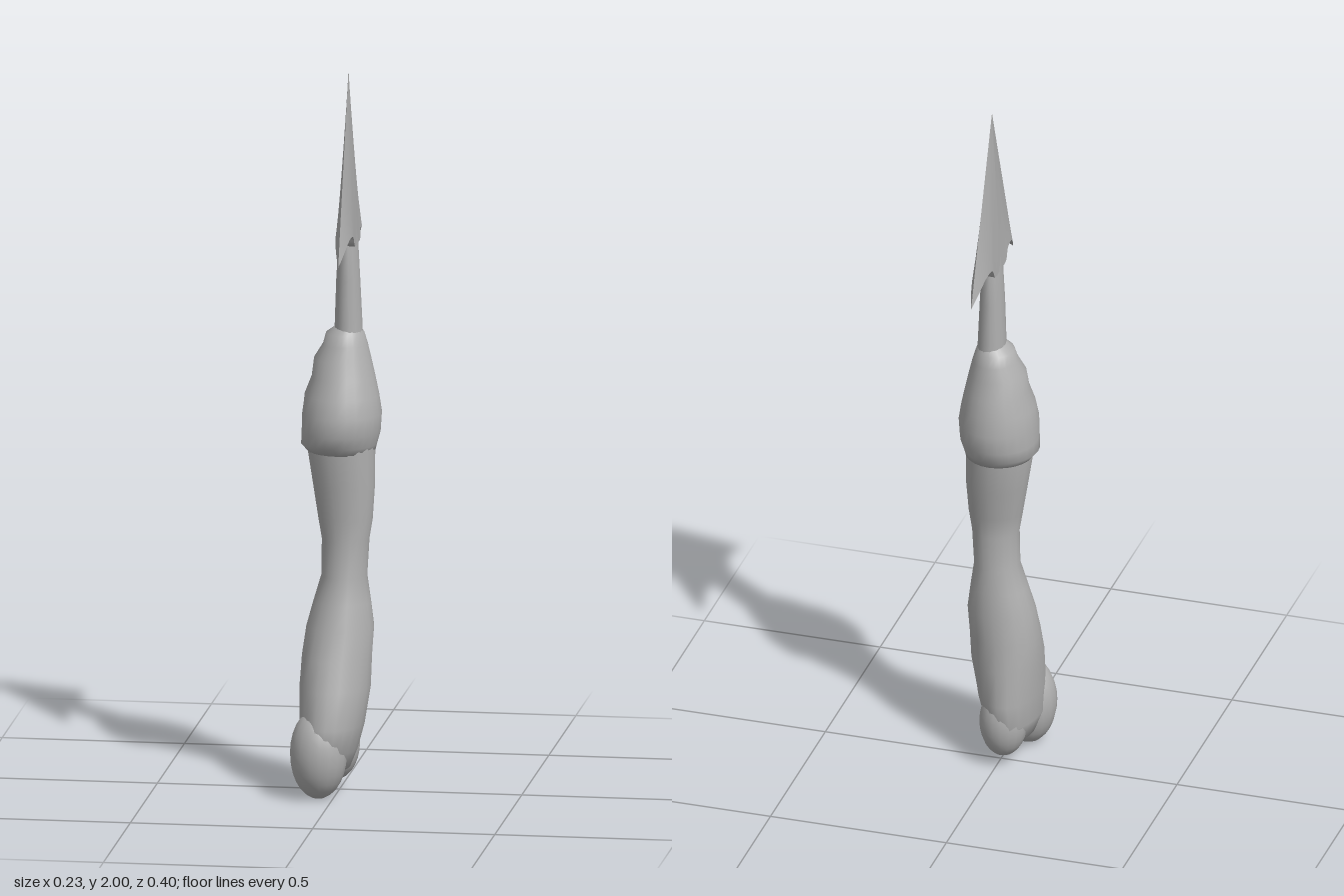
import * as THREE from 'three';
import { toCreasedNormals } from 'three/addons/utils/BufferGeometryUtils.js';

const stone = new THREE.MeshStandardMaterial({ color: 0xb0b0b0 });
stone.name = 'plain grey';

function buildGeometry(positions, index) {
  const g = new THREE.BufferGeometry();
  g.setAttribute('position', new THREE.Float32BufferAttribute(positions, 3));
  g.setIndex(index);
  g.computeVertexNormals();
  return g;
}

// Smooth loft through oval sections given as [y, xMin, xMax, zMin, zMax]
function loft(rows, sides, bump = () => 1) {
  const positions = [], index = [];
  rows.forEach(([y, x0, x1, z0, z1], i) => {
    for (let j = 0; j < sides; j++) {
      const a = (j / sides) * Math.PI * 2;
      const k = bump(a, y);
      positions.push((x0 + x1) / 2 + (x1 - x0) / 2 * Math.cos(a) * k, y,
        (z0 + z1) / 2 + (z1 - z0) / 2 * Math.sin(a) * k);
      if (i === rows.length - 1) continue;
      const p = i * sides + j, q = i * sides + (j + 1) % sides;
      index.push(p, p + sides, q, q, p + sides, q + sides);
    }
  });
  return buildGeometry(positions, index);
}

// Half of the barbed blade: columns run outward from the ridge to the barb tip
function bladeHalf(side) {
  const outer = new THREE.CatmullRomCurve3([[0, 2], [0.03, 1.92], [0.1, 1.735], [0.145, 1.615], [0.19, 1.49]]
    .map(([z, y]) => new THREE.Vector3(z, y, 0)));
  const notch = new THREE.CatmullRomCurve3([[0, 1.52], [0.05, 1.52], [0.07, 1.55], [0.11, 1.55], [0.15, 1.525], [0.19, 1.49]]
    .map(([z, y]) => new THREE.Vector3(z, y, 0)));
  const columns = 16, rows = 6, positions = [], index = [];
  const stride = rows * 2 + 1;
  for (let i = 0; i <= columns; i++) {
    const s = i / columns;
    const top = outer.getPoint(s), low = notch.getPoint(s);
    const half = 0.025 * (1 - s ** 3);
    for (let j = 0; j < stride; j++) {
      // Down one face, then back up the other, sharing the sharp top edge
      const v = j <= rows ? j / rows : (stride - j) / rows;
      const face = j <= rows ? 1 : -1;
      positions.push(0.023 + face * half * v, THREE.MathUtils.lerp(top.y, low.y, v),
        -0.01 + side * THREE.MathUtils.lerp(top.x, low.x, v));
      if (i === columns) continue;
      const a = i * stride + j, b = i * stride + (j + 1) % stride;
      const c = a + stride, d = b + stride;
      if (side > 0) index.push(a, c, b, b, c, d);
      else index.push(a, b, c, b, d, c);
    }
  }
  return toCreasedNormals(buildGeometry(positions, index), 0.7);
}

export function createModel() {
  const model = new THREE.Group();
  model.name = 'boneSpear';
  const add = (name, geometry) => {
    const mesh = new THREE.Mesh(geometry, stone);
    mesh.name = name;
    model.add(mesh);
    return mesh;
  };

  // Bone handle, swelling toward the knuckled foot
  add('boneHandle', loft([
    [0.07, -0.03, -0.02, 0.04, 0.05],
    [0.075, -0.08, 0.035, -0.05, 0.14],
    [0.13, -0.1, 0.057, -0.078, 0.19],
    [0.2, -0.1, 0.075, -0.082, 0.192],
    [0.3, -0.105, 0.09, -0.075, 0.165],
    [0.38, -0.1, 0.092, -0.07, 0.14],
    [0.46, -0.088, 0.097, -0.065, 0.118],
    [0.53, -0.068, 0.088, -0.058, 0.1],
    [0.6, -0.047, 0.078, -0.05, 0.083],
    [0.7, -0.045, 0.085, -0.045, 0.076],
    [0.76, -0.055, 0.095, -0.05, 0.077],
    [0.85, -0.07, 0.1, -0.072, 0.084],
    [0.95, -0.085, 0.1, -0.085, 0.095],
    [1.0, -0.085, 0.1, -0.085, 0.095],
  ], 20, (a, y) => 1 + 0.025 * Math.sin(3 * a + y * 6)));

  // Two knuckles with a cleft between them
  for (const [name, x, y, z, rx, ry, rz] of [
    ['frontKnuckle', -0.04, 0.125, 0.122, 0.078, 0.125, 0.08],
    ['backKnuckle', -0.012, 0.13, -0.015, 0.066, 0.105, 0.07],
  ]) {
    const knuckle = add(name, new THREE.SphereGeometry(1, 18, 14));
    knuckle.position.set(x, y, z);
    knuckle.scale.set(rx, ry, rz);
  }

  // Lumpy binding that holds the blade
  add('binding', loft([
    [0.96, -0.01, 0.03, -0.02, 0.02],
    [0.945, -0.085, 0.098, -0.09, 0.095],
    [0.965, -0.104, 0.103, -0.1, 0.106],
    [1.0, -0.104, 0.113, -0.115, 0.125],
    [1.05, -0.101, 0.116, -0.116, 0.122],
    [1.1, -0.094, 0.108, -0.108, 0.11],
    [1.15, -0.078, 0.097, -0.098, 0.092],
    [1.2, -0.069, 0.086, -0.083, 0.076],
    [1.24, -0.047, 0.076, -0.074, 0.063],
    [1.27, -0.037, 0.067, -0.064, 0.052],
    [1.29, -0.01, 0.055, -0.045, 0.035],
  ], 24, (a, y) => 1 + 0.02 * Math.sin(y * 75 + 2 * a) * Math.max(0, -Math.cos(a))));

  // Slim neck running up into the blade
  add('neck', loft([
    [1.2, -0.016, 0.066, -0.056, 0.046],
    [1.3, -0.014, 0.062, -0.053, 0.042],
    [1.42, -0.01, 0.056, -0.053, 0.041],
    [1.52, -0.004, 0.05, -0.053, 0.041],
    [1.6, 0.004, 0.042, -0.045, 0.03],
    [1.72, 0.01, 0.036, -0.02, 0.005],
  ], 14));

  // Barbed blade
  add('frontBlade', bladeHalf(1));
  add('backBlade', bladeHalf(-1));
  return model;
}
